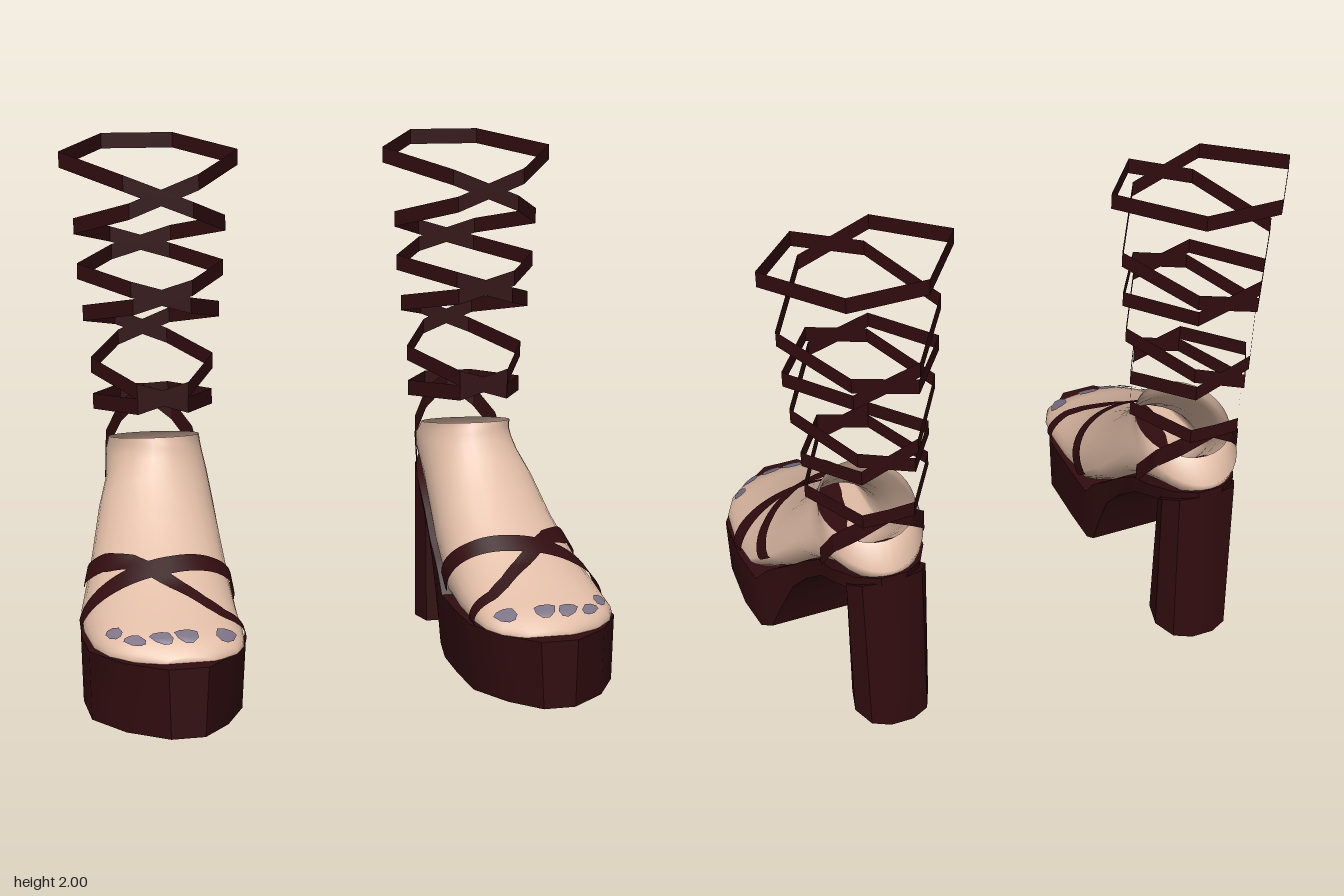
import * as THREE from 'three';
import { toCreasedNormals } from 'three/addons/utils/BufferGeometryUtils.js';

const leather = new THREE.MeshStandardMaterial({ color: 0x310c0f, side: THREE.DoubleSide });
leather.name = 'dark burgundy leather';
const skin = new THREE.MeshStandardMaterial({ color: 0xe0bca6, side: THREE.DoubleSide });
skin.name = 'skin';
const polish = new THREE.MeshStandardMaterial({ color: 0x7d7386, side: THREE.DoubleSide });
polish.name = 'grey nail polish';

const lerp = THREE.MathUtils.lerp;
const V = (x, y, z) => new THREE.Vector3(x, y, z);

// Skin a surface over rows of points; closed rows wrap around, caps fill the ends
function loft(rows, { closed = true, capStart = false, capEnd = false } = {}) {
  const n = rows[0].length, index = [], last = (rows.length - 1) * n;
  for (let i = 0; i < rows.length - 1; i++) {
    for (let j = 0; j < (closed ? n : n - 1); j++) {
      const a = i * n + j, b = i * n + (j + 1) % n;
      index.push(a, a + n, b, b, a + n, b + n);
    }
  }
  for (let j = 1; j < n - 1; j++) {
    if (capStart) index.push(0, j, j + 1);
    if (capEnd) index.push(last, last + j + 1, last + j);
  }
  const geo = new THREE.BufferGeometry().setFromPoints(rows.flat());
  geo.setIndex(index);
  return geo;
}

// Foot stations, toe to ankle: top z, top y, bottom z, bottom y, inner x, outer x, widest height, skew
const FOOT = [
  [0.615, 0.27, 0.615, 0.24, 0.57, 0.74, 0.3, 0],
  [0.57, 0.32, 0.58, 0.24, 0.48, 0.86, 0.25, 0],
  [0.51, 0.345, 0.51, 0.24, 0.445, 0.925, 0.2, 0],
  [0.44, 0.375, 0.42, 0.24, 0.43, 0.965, 0.2, -0.01],
  [0.3, 0.44, 0.25, 0.24, 0.425, 0.98, 0.2, -0.03],
  [0.17, 0.53, 0.08, 0.24, 0.425, 0.97, 0.25, -0.05],
  [0.02, 0.65, -0.1, 0.38, 0.425, 0.91, 0.3, -0.03],
  [-0.08, 0.76, -0.28, 0.55, 0.43, 0.86, 0.35, -0.01],
  [-0.12, 0.82, -0.45, 0.64, 0.435, 0.82, 0.45, 0],
  [-0.13, 0.85, -0.6, 0.7, 0.44, 0.81, 0.5, 0],
  [-0.14, 0.87, -0.63, 0.76, 0.445, 0.805, 0.5, 0],
  [-0.15, 0.89, -0.55, 0.835, 0.455, 0.8, 0.5, 0],
];

// Point on the foot at station u and angle a (0 outer side, PI/2 top, PI inner side)
function footPoint(u, a) {
  const i = Math.min(Math.floor(u), FOOT.length - 2);
  const [zt, yt, zb, yb, xi, xo, k, skew] = FOOT[i].map((v, c) => lerp(v, FOOT[i + 1][c], u - i));
  const s = Math.sin(a), t = s > 0 ? k + (1 - k) * s : k + k * s;
  const x = (xi + xo) / 2 + (xo - xi) / 2 * Math.cos(a) + skew * Math.max(0, s);
  return V(x, lerp(yb, yt, t), lerp(zb, zt, t));
}

function footGeometry() {
  const rows = FOOT.map((_, i) =>
    Array.from({ length: 32 }, (_, j) => footPoint(i, j / 32 * Math.PI * 2)));
  return loft(rows, { capStart: true });
}

// Thin patch lying on the foot; keys are [angle in half turns, first station, last station]
function patch(keys, lift, steps = 8) {
  const rows = [[], [], [], [], []];
  for (let k = 0; k < keys.length - 1; k++) {
    for (let s = k ? 1 : 0; s <= steps; s++) {
      const [h, u0, u1] = keys[k].map((v, c) => lerp(v, keys[k + 1][c], s / steps));
      rows.forEach((row, r) => {
        const u = lerp(u0, u1, r / 4), a = h * Math.PI, p = footPoint(u, a);
        const du = footPoint(u + 0.02, a).sub(footPoint(u - 0.02, a));
        const da = footPoint(u, a + 0.02).sub(footPoint(u, a - 0.02));
        row.push(p.addScaledVector(du.cross(da).normalize(), lift));
      });
    }
  }
  return loft(rows, { closed: false });
}

// Sole stations, front to back: z, bottom y, top y, inner x, outer x
const SOLE = [
  [0.68, 0, 0.25, 0.6, 0.74],
  [0.57, 0, 0.25, 0.5, 0.88],
  [0.41, 0, 0.25, 0.42, 0.98],
  [0.2, 0, 0.25, 0.42, 0.985],
  [0.04, 0.01, 0.26, 0.42, 0.965],
  [-0.02, 0.05, 0.34, 0.42, 0.935],
  [-0.06, 0.16, 0.38, 0.42, 0.91],
  [-0.13, 0.33, 0.44, 0.42, 0.87],
  [-0.23, 0.45, 0.54, 0.425, 0.84],
  [-0.35, 0.56, 0.64, 0.43, 0.815],
  [-0.45, 0.61, 0.675, 0.45, 0.8],
  [-0.56, 0.64, 0.71, 0.5, 0.745],
  [-0.62, 0.66, 0.73, 0.57, 0.67],
];

function soleGeometry() {
  const rows = SOLE.map(([z, yb, yt, xi, xo]) =>
    [V(xi + 0.015, yb, z), V(xo - 0.005, yb, z), V(xo, yt, z), V(xi, yt, z)]);
  return loft(rows, { capStart: true, capEnd: true });
}

// Block heel: flat front, faceted back
function heelGeometry() {
  const plan = [[1, 0.1], [0.85, 1], [-0.85, 1], [-1, 0.1], [-0.75, -0.7], [-0.3, -1], [0.3, -1], [0.75, -0.7]];
  const levels = [[0.015, 0, 0.145, -0.54, 0.11], [0.66, 0.045, 0.15, -0.535, 0.085]];
  const rows = levels.map(([y, tilt, w, zc, d]) =>
    plan.map(([x, z]) => V(0.62 + x * w, y - z * tilt, zc + z * d)));
  return loft(rows, { capStart: true, capEnd: true });
}

// One leg lace: rises from the sole, then winds up in six-sided half turns
const LACE = [ // back/front crossing y, z, then the following side's y and radius
  [0.99, -0.6, 1.0, 0.23],
  [1.03, -0.11, 1.14, 0.235],
  [1.25, -0.62, 1.34, 0.262],
  [1.43, -0.1, 1.5, 0.28],
  [1.57, -0.63, 1.67, 0.29],
  [1.8, -0.08, 1.92, 0.34],
  [1.97, -0.685, 1.97, 0.34],
];

function laceGeometry(dir) {
  const cx = 0.625;
  const path = [[0.19, 0.67, -0.37], [0.17, 0.82, -0.48], [0.1, 0.92, -0.56]];
  let side = -1;
  LACE.forEach(([y, z, sideY, r], i) => {
    if (i) { // corner arriving at this crossing
      const [, , py, pr] = LACE[i - 1];
      path.push([-side * 0.41 * pr, lerp(y, py, i === 6 ? 0 : 0.41), z]);
    } else path.push([0, y, z]);
    if (i === LACE.length - 1) {
      path.push([0, y, z]);
      return;
    }
    path.push([side * 0.41 * r, lerp(y, sideY, 0.41), z]);
    path.push([side * r, sideY, -0.37]);
    side = -side;
  });
  const edge = (h) => path.map(([x, y, z], i) => V(cx + dir * x, y + h * (i < 3 ? 1.4 : 1), z));
  return loft([edge(-0.03), edge(0.03)], { closed: false });
}

function buildShoe(side) {
  const shoe = new THREE.Group();
  shoe.name = side > 0 ? 'leftShoe' : 'rightShoe';
  const add = (name, geo, material, crease = 0) => {
    if (side < 0) { // mirror and restore the winding
      geo.scale(-1, 1, 1);
      geo.index.array.reverse();
    }
    if (crease) geo = toCreasedNormals(geo, crease);
    else geo.computeVertexNormals();
    const mesh = new THREE.Mesh(geo, material);
    mesh.name = name;
    shoe.add(mesh);
  };

  add('platformSole', soleGeometry(), leather, 0.6);
  add('blockHeel', heelGeometry(), leather, 0.5);
  add('foot', footGeometry(), skin);

  // Crossed straps over the forefoot
  add('wideStrap', patch([[-0.04, 4.02, 4.55], [0.25, 4.15, 4.7], [0.5, 4.3, 4.82],
    [0.72, 4.55, 5.02], [1.04, 4.9, 5.35]], 0.011), leather);
  add('diagonalStrap', patch([[-0.04, 5.5, 5.88], [0.2, 5.1, 5.5], [0.35, 4.65, 5.08],
    [0.5, 3.85, 4.3], [0.65, 3.2, 3.6], [0.75, 2.9, 3.3], [1.04, 2.8, 3.2]], 0.009), leather);

  // Nails, big toe first: angle, half width, front and back stations
  [[0.77, 0.07, 1.0, 2.1], [0.53, 0.06, 0.75, 1.7], [0.39, 0.055, 0.8, 1.7],
    [0.25, 0.05, 1.1, 2.0], [0.2, 0.045, 2.2, 2.95]].forEach(([a, w, u0, u1], i) => {
    const m = lerp(u0, u1, 0.3);
    add('toenail' + (i + 1), patch([[a - w, m, u1 - 0.15], [a - w * 0.4, u0, u1],
      [a + w * 0.4, u0, u1], [a + w, m, u1 - 0.15]], 0.007, 2), polish);
  });

  // Two mirrored laces crossing at the front and back of the leg
  add('outerLace', laceGeometry(1), leather, 0.3);
  add('innerLace', laceGeometry(-1), leather, 0.3);
  return shoe;
}

export function createModel() {
  const model = new THREE.Group();
  model.name = 'platformSandals';
  model.add(buildShoe(1), buildShoe(-1));
  return model;
}
